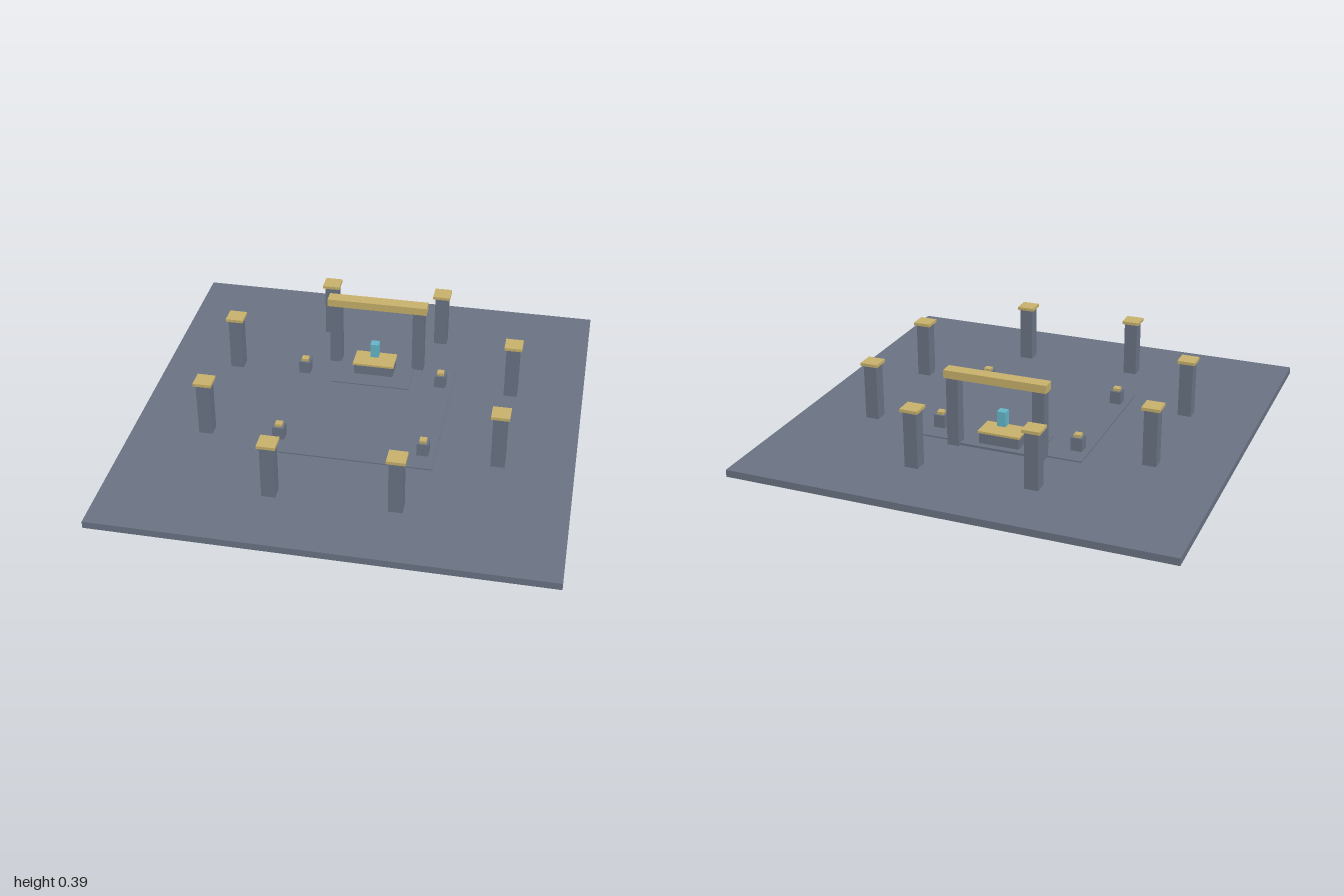
import * as THREE from 'three';

export function createModel() {
  const model = new THREE.Group();
  model.name = 'shrineCourtyard';

  const material = (name, color) => {
    const m = new THREE.MeshStandardMaterial({ color });
    m.name = name;
    return m;
  };
  const stone = material('slate stone', 0x6b7485);
  const gold = material('pale gold', 0xc9b26c);
  const crystal = material('cyan crystal', 0x66b8cb);

  // Box standing between heights y0 and y1, centred on x and z
  const block = (name, mat, x, z, width, depth, y0, y1, parent = model) => {
    const mesh = new THREE.Mesh(new THREE.BoxGeometry(width, y1 - y0, depth), mat);
    mesh.name = name;
    mesh.position.set(x, (y0 + y1) / 2, z);
    parent.add(mesh);
  };
  const group = (name) => {
    const g = new THREE.Group();
    g.name = name;
    model.add(g);
    return g;
  };

  // Stepped ground
  const ground = 0.033;
  block('groundSlab', stone, 0, 0, 2, 2, 0, ground);
  block('innerFloor', stone, 0, 0, 0.77, 0.77, ground, 0.039);
  block('dais', stone, 0, -0.305, 0.37, 0.22, ground, 0.044);

  // Ring of eight capped pillars
  for (let i = 0; i < 8; i++) {
    const angle = (i + 0.5) * Math.PI / 4;
    const x = 0.718 * Math.cos(angle), z = 0.718 * Math.sin(angle);
    const pillar = group('pillar');
    block('pillarShaft', stone, x, z, 0.062, 0.062, ground, 0.292, pillar);
    block('pillarCap', gold, x, z, 0.082, 0.082, 0.292, 0.306, pillar);
  }

  // Four low lantern blocks
  for (const x of [-0.328, 0.328]) {
    for (const z of [-0.27, 0.27]) {
      const lantern = group('lantern');
      block('lanternBase', stone, x, z, 0.053, 0.053, ground, 0.1, lantern);
      block('lanternTop', gold, x, z, 0.032, 0.032, 0.1, 0.113, lantern);
    }
  }

  // Gate behind the altar
  const gate = group('gate');
  for (const x of [-0.2, 0.2]) block('gatePost', stone, x, -0.4, 0.055, 0.055, ground, 0.351, gate);
  block('gateBeam', gold, 0, -0.4, 0.476, 0.06, 0.351, 0.388, gate);

  // Altar with a floating crystal
  const altar = group('altar');
  block('altarBase', stone, 0, -0.333, 0.188, 0.105, ground, 0.094, altar);
  block('altarTop', gold, 0, -0.333, 0.197, 0.115, 0.094, 0.104, altar);
  block('floatingCrystal', crystal, 0, -0.333, 0.04, 0.04, 0.125, 0.195, altar);

  return model;
}
